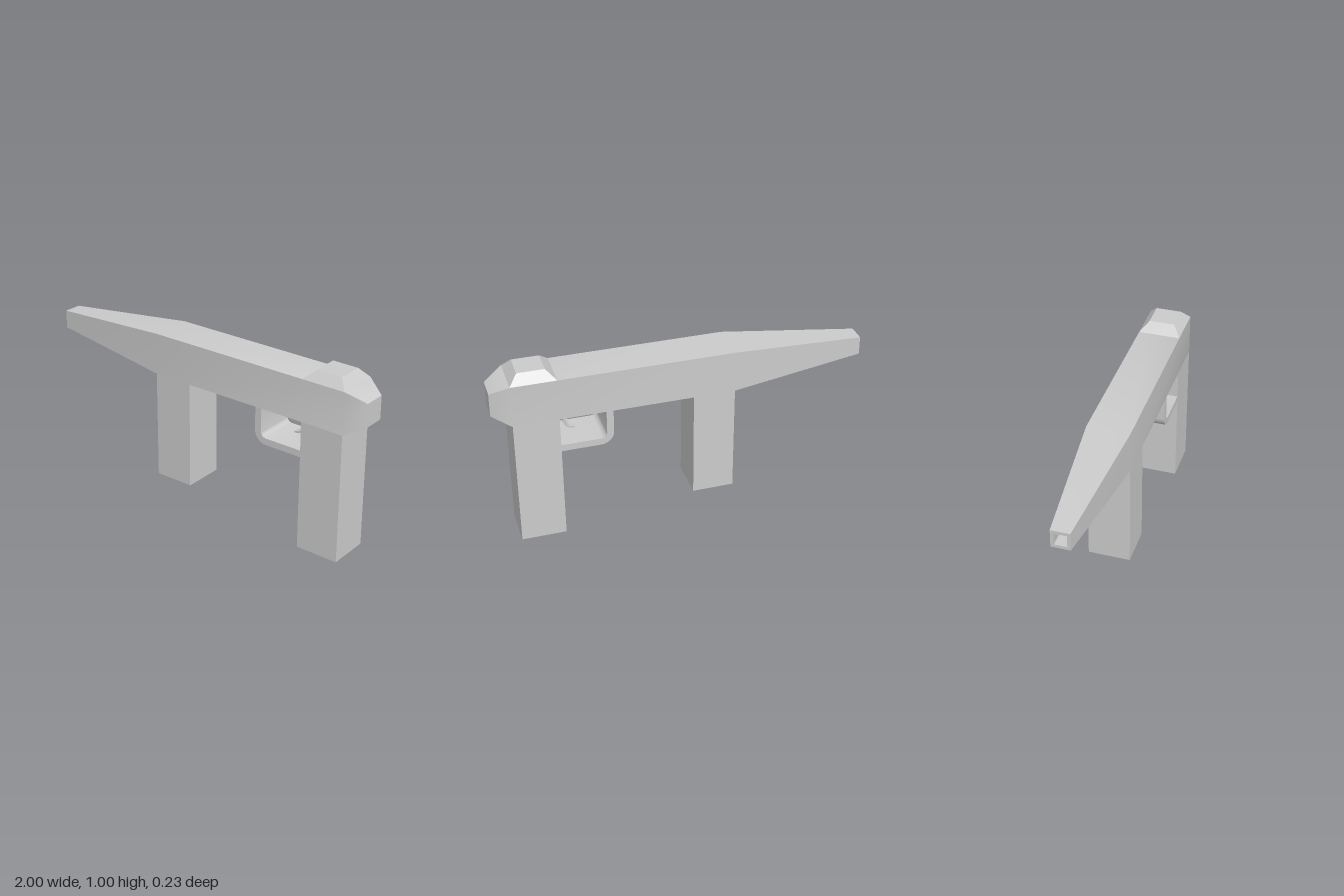
import * as THREE from 'three';
import { toCreasedNormals } from 'three/addons/utils/BufferGeometryUtils.js';

const grey = new THREE.MeshStandardMaterial({ color: 0xcccccc });
const HALF = 0.115; // half the width of the body, grips and guard

// Skin over rectangular sections [x, yBottom, yTop, halfWidth], capped at both ends
function loftSections(sections) {
  const pos = [], index = [];
  for (const [x, y0, y1, w] of sections) {
    pos.push(x, y0, -w, x, y0, w, x, y1, w, x, y1, -w);
  }
  const last = (sections.length - 1) * 4;
  for (let i = 0; i < last; i += 4) {
    for (let j = 0; j < 4; j++) {
      const k = (j + 1) % 4;
      const a = i + j, b = i + k, c = i + 4 + k, d = i + 4 + j;
      index.push(a, d, c, a, c, b);
    }
  }
  index.push(0, 1, 2, 0, 2, 3, last, last + 2, last + 1, last, last + 3, last + 2);
  const g = new THREE.BufferGeometry();
  g.setAttribute('position', new THREE.Float32BufferAttribute(pos, 3));
  g.setIndex(index);
  return toCreasedNormals(g, 0.56);
}

// Extrude an outline in the xy plane, centred on z = 0
function slab(shape, width) {
  const g = new THREE.ExtrudeGeometry(shape, { depth: width, bevelEnabled: false, curveSegments: 8 });
  g.translate(0, 0, -width / 2);
  return toCreasedNormals(g, 0.56);
}

function block(x0, x1, y0, y1) {
  const g = new THREE.BoxGeometry(x1 - x0, y1 - y0, HALF * 2);
  return g.translate((x0 + x1) / 2, (y0 + y1) / 2, 0);
}

export function createModel() {
  const group = new THREE.Group();
  const add = (name, geometry) => {
    const mesh = new THREE.Mesh(geometry, grey);
    mesh.name = name;
    group.add(mesh);
  };

  // Tapered body; the first two sections line the square bore
  add('body', loftSections([
    [-0.9, 0.797, 0.863, 0.033],
    [-1, 0.797, 0.863, 0.033],
    [-1, 0.78, 0.88, 0.05],
    [-0.27, 0.715, 0.945, HALF],
    [0.9, 0.715, 0.945, HALF],
    [1, 0.765, 0.893, 0.062],
  ]));

  add('frontGrip', block(-0.275, -0.05, 0.115, 0.715));
  add('rearGrip', block(0.66, 0.9, 0, 0.715));

  // Raised cap: a box narrowed towards its top
  const cap = block(0.66, 0.9, 0.945, 0.995).toNonIndexed();
  const p = cap.attributes.position;
  for (let i = 0; i < p.count; i++) {
    if (p.getY(i) > 0.97) {
      p.setX(i, 0.783 + (p.getX(i) - 0.78) * 0.6);
      p.setZ(i, p.getZ(i) * 0.61);
    }
  }
  cap.computeVertexNormals();
  add('rearCap', cap);

  // Guard: L-shaped strap with a rounded corner
  const guard = new THREE.Shape();
  guard.moveTo(0.38, 0.715);
  guard.lineTo(0.38, 0.59);
  guard.absarc(0.45, 0.59, 0.07, Math.PI, Math.PI * 1.5, false);
  guard.lineTo(0.66, 0.52);
  guard.lineTo(0.66, 0.557);
  guard.lineTo(0.45, 0.557);
  guard.absarc(0.45, 0.59, 0.033, Math.PI * 1.5, Math.PI, true);
  guard.lineTo(0.417, 0.715);
  add('triggerGuard', slab(guard, HALF * 2));

  // Trigger: thin curved hook, thicker at its root
  const trigger = new THREE.Shape();
  trigger.moveTo(0.592, 0.717);
  trigger.bezierCurveTo(0.63, 0.69, 0.64, 0.608, 0.567, 0.607);
  trigger.lineTo(0.567, 0.598);
  trigger.bezierCurveTo(0.64, 0.595, 0.645, 0.67, 0.612, 0.717);
  add('trigger', slab(trigger, 0.07));

  return group;
}
